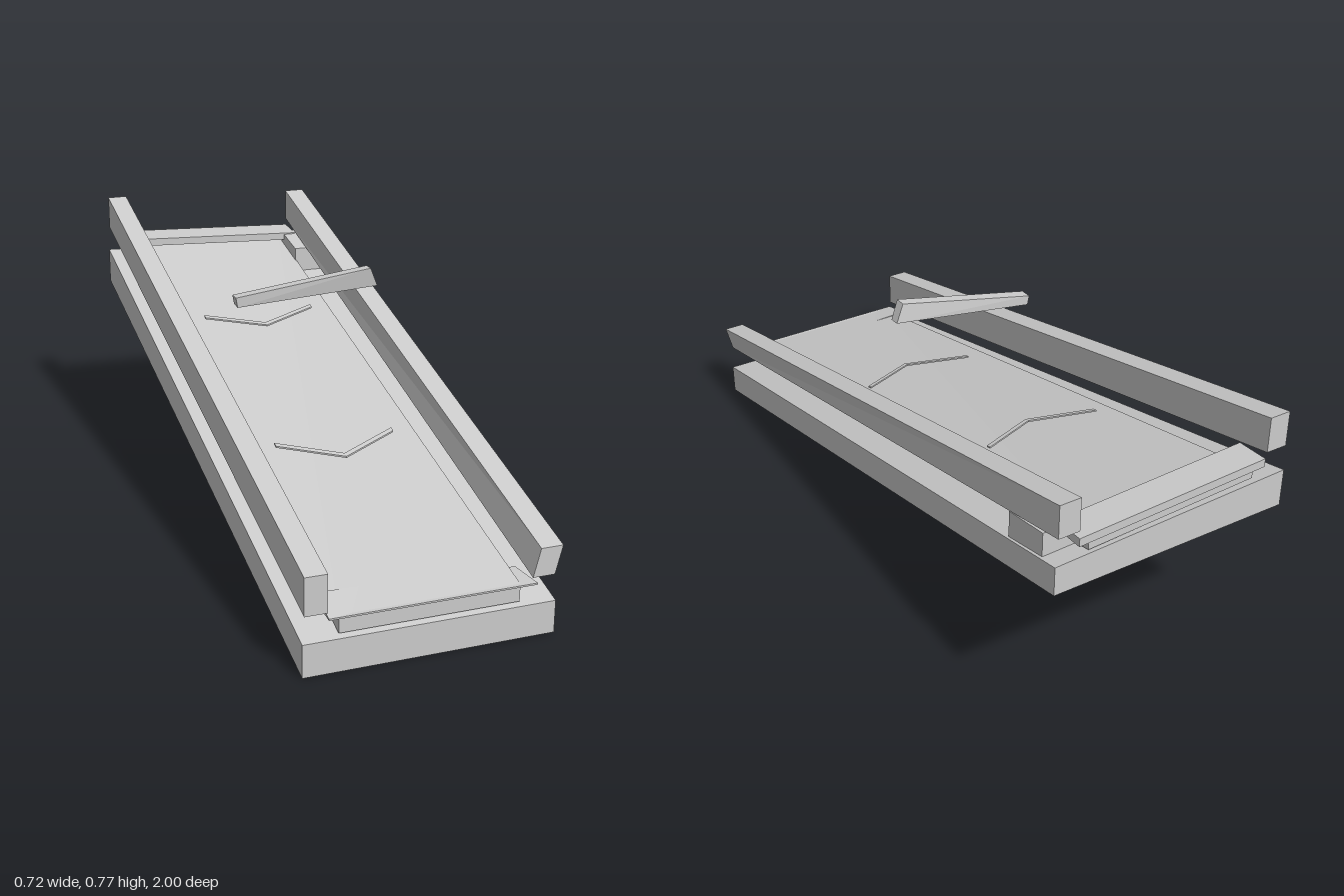
import * as THREE from 'three';

const material = new THREE.MeshStandardMaterial({ color: 0xcccccc, flatShading: true });

// Six-sided plank between two end sections; each section lists
// bottom-left, bottom-right, top-right, top-left as [x, y, z].
function plank(name, front, back) {
  const c = [...front, ...back];
  const sides = [
    [0, 1, 2, 3], [5, 4, 7, 6], [3, 2, 6, 7],
    [4, 5, 1, 0], [1, 5, 6, 2], [4, 0, 3, 7],
  ];
  const pos = [];
  for (const [a, b, d, e] of sides) {
    for (const i of [a, b, d, a, d, e]) pos.push(...c[i]);
  }
  const geo = new THREE.BufferGeometry();
  geo.setAttribute('position', new THREE.Float32BufferAttribute(pos, 3));
  geo.computeVertexNormals();
  const mesh = new THREE.Mesh(geo, material);
  mesh.name = name;
  return mesh;
}

// End section lying in a plane of constant z
const section = (z, ...xy) => xy.map(([x, y]) => [x, y, z]);

// V-shaped strip lying on the sloping deck
function chevron(name, zEnd, zTip, yEnd, yTip) {
  const group = new THREE.Group();
  group.name = name;
  const w = 0.016, t = 0.005, rise = 0.004;
  const cut = (x, y, z) => [
    [[x, y - t, z + w / 2], [x, y, z + w / 2]],
    [[x, y - t + rise, z - w / 2], [x, y + rise, z - w / 2]],
  ];
  const cuts = [cut(-0.19, yEnd, zEnd), cut(-0.01, yTip, zTip), cut(0.17, yEnd, zEnd)];
  for (let i = 0; i < 2; i++) {
    const [l, r] = [cuts[i], cuts[i + 1]];
    group.add(plank('chevronArm',
      [l[0][0], r[0][0], r[0][1], l[0][1]],
      [l[1][0], r[1][0], r[1][1], l[1][1]]));
  }
  return group;
}

export function createModel() {
  const model = new THREE.Group();
  model.name = 'slopingRamp';

  // Sloping base slab
  model.add(plank('base',
    section(1, [-0.36, 0], [0.34, 0], [0.34, 0.093], [-0.36, 0.093]),
    section(-1, [-0.36, 0.48], [0.36, 0.48], [0.36, 0.567], [-0.36, 0.592])));

  // Deck floating just above the base
  model.add(plank('deck',
    section(0.99, [-0.26, 0.103], [0.24, 0.103], [0.24, 0.153], [-0.26, 0.153]),
    section(-0.99, [-0.26, 0.597], [0.255, 0.573], [0.255, 0.602], [-0.26, 0.625])));

  // Side rails
  model.add(plank('rightRail',
    section(1, [-0.355, 0.17], [-0.293, 0.17], [-0.293, 0.277], [-0.355, 0.277]),
    section(-1, [-0.355, 0.67], [-0.293, 0.67], [-0.293, 0.775], [-0.355, 0.775])));
  model.add(plank('leftRail',
    section(1, [0.27, 0.17], [0.333, 0.17], [0.353, 0.25], [0.29, 0.25]),
    section(-1, [0.29, 0.65], [0.353, 0.65], [0.353, 0.75], [0.29, 0.75])));

  // Cross boards at both ends of the deck
  model.add(plank('frontBoard',
    section(1, [-0.29, 0.148], [0.285, 0.148], [0.285, 0.153], [-0.29, 0.153]),
    section(0.9, [-0.29, 0.155], [0.27, 0.148], [0.27, 0.156], [-0.29, 0.178])));
  model.add(plank('backBoard',
    section(-0.9, [-0.29, 0.621], [0.29, 0.596], [0.29, 0.62], [-0.29, 0.645]),
    section(-1, [-0.29, 0.627], [0.29, 0.602], [0.29, 0.627], [-0.29, 0.652])));

  // Support block under the rear of the left rail
  model.add(plank('supportBlock',
    section(-0.78, [0.25, 0.515], [0.35, 0.515], [0.35, 0.595], [0.25, 0.595]),
    section(-0.93, [0.25, 0.55], [0.35, 0.55], [0.35, 0.622], [0.25, 0.622])));

  // Two chevrons on the deck
  model.add(chevron('rearChevron', -0.4, -0.32, 0.505, 0.486));
  model.add(chevron('frontChevron', 0.295, 0.385, 0.33, 0.309));

  // Tapered bar floating above the middle
  model.add(plank('floatingBar',
    [[-0.21, 0.66, 0.02], [0.212, 0.698, 0.062], [0.188, 0.755, 0.068], [-0.215, 0.69, 0.02]],
    [[-0.21, 0.662, -0.015], [0.212, 0.7, 0.03], [0.188, 0.755, 0.035], [-0.215, 0.69, -0.015]]));

  return model;
}
